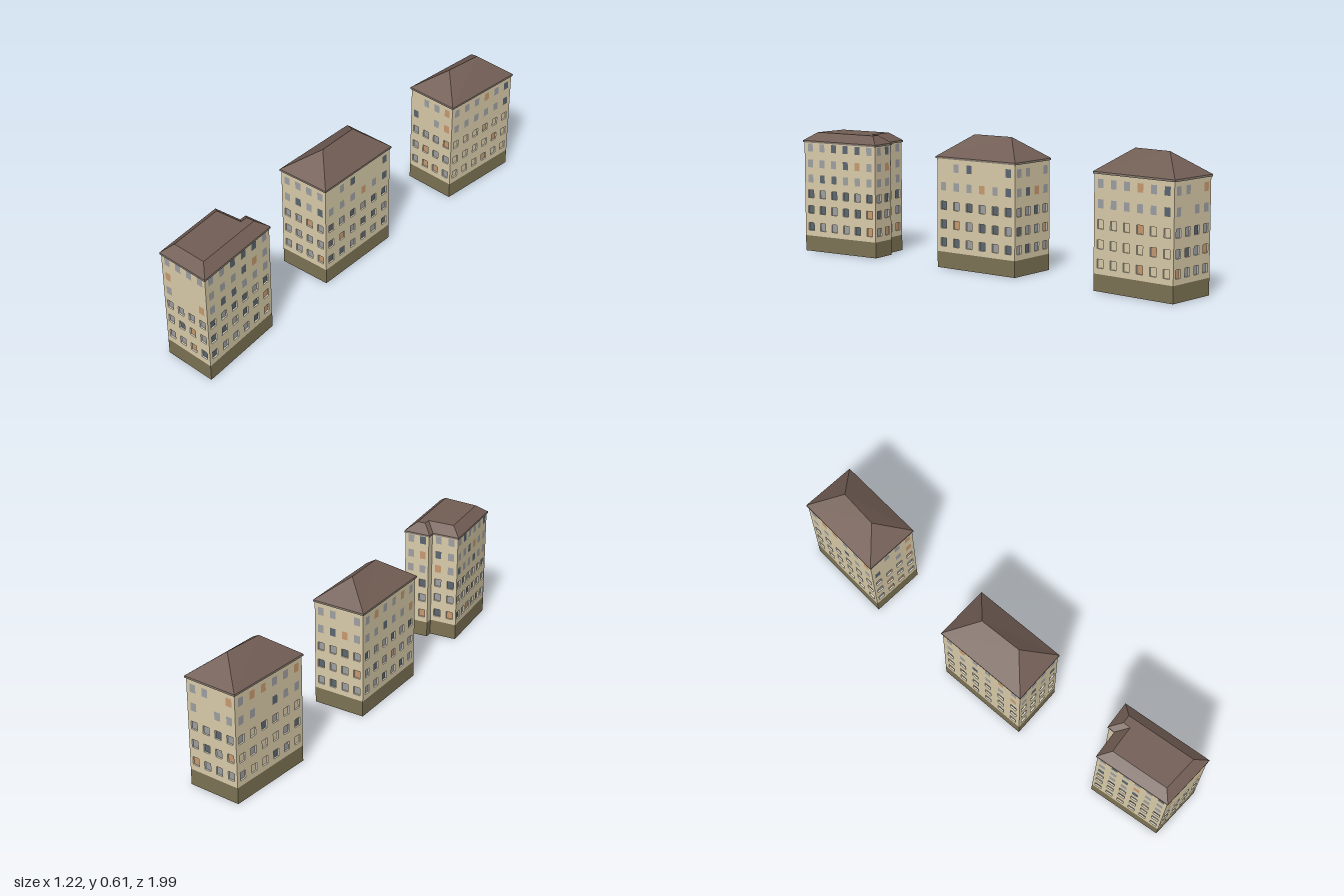
import * as THREE from 'three';

const mat = (name, color) => {
  const m = new THREE.MeshStandardMaterial({ color, side: THREE.DoubleSide });
  m.name = name;
  return m;
};
const plaster = mat('plaster', 0xdaccaa);
const plinth = mat('plinth', 0x7d7354);
const roofing = mat('roofing', 0x715d54);
const eaveTrim = mat('eave trim', 0x8a7d72);
const frame = mat('window frame', 0xe0dbcd);
const panes = {
  g: mat('pale glass', 0x9fa0a3),
  s: mat('slate glass', 0x5c6770),
  o: mat('amber glass', 0xc99a70),
  w: plaster,
};

const BASE = 0.075, REVEAL = 0.007, WIN_H = 0.038, FASCIA = 0.009, OVERHANG = 0.005;

// Corners run counter-clockwise seen from above, as [x, z], starting front left.
// Window rows run from the top floor down: g, s, o = glass colours, w = blind, . = no window.
const buildings = [
  {
    name: 'frontBuilding', eave: 0.538, top: 0.576, inset: 0.048,
    corners: [[-0.613, 0.858], [-0.382, 0.993], [-0.214, 0.594], [-0.335, 0.541], [-0.351, 0.573], [-0.473, 0.52]],
    floors: [0.505, 0.428, 0.355, 0.28, 0.203, 0.12],
    walls: [
      ['gggg', 'o...', 'g..o', 'gggg', 'gsog', 'ggos'],
      ['ggsssg', 'gggsog', 'gssggg', 'sgssgs', 'ssgsso', 'sgggso'],
      ['gs', 'go', 'gg', 'gs', 'sg', 'go'],
      null,
      ['gg', 'sg', 'og', 'gs', 'gg', 'so'],
      ['gsgggs', 'ggsogg', 'sggsgg', 'gsggos', 'ggssgg', 'sgogsg'],
    ],
  },
  {
    name: 'middleBuilding', eave: 0.512, top: 0.61, ridge: [[-0.104, 0.098], [-0.011, -0.087]],
    corners: [[-0.288, 0.147], [-0.054, 0.27], [0.158, -0.13], [-0.071, -0.258]],
    floors: [0.463, 0.377, 0.289, 0.203, 0.12],
    walls: [
      ['gggg', 'gsgs', 'ggog', 'gggg', 'gggo'],
      ['.gs..s', 'gggogs', 'sgsgss', 'sogssg', 'ssgsgs'],
      ['gg.g', 'gsog', 'ggsg', 'sggo', 'gsgg'],
      ['goggog', 'ggsggo', 'sggsgs', 'gsgogg', 'ggsgsg'],
    ],
  },
  {
    name: 'rearBuilding', eave: 0.512, top: 0.61, ridge: [[0.33, -0.67], [0.439, -0.822]],
    corners: [[0.153, -0.637], [0.378, -0.496], [0.611, -0.855], [0.39, -0.998]],
    floors: [0.463, 0.377, 0.289, 0.203, 0.12],
    walls: [
      ['.ggo', 's.go', 'gggo', 'gogg', 'goog'],
      ['gggogs', 'gggggs', 'wwwoww', 'wwwwow', 'wwwoww'],
      ['gg.o', 'g.gg', 'ggsg', 'gsgo', 'oggg'],
      ['googgo', 'gg.sgg', 'gwsgww', 'wgwwgs', 'gwwsgw'],
    ],
  },
];

// Moves every side of an outline inward by d
function insetOutline(pts, d) {
  const n = pts.length;
  const inward = (a, b) => {
    const dx = b[0] - a[0], dz = b[1] - a[1], l = Math.hypot(dx, dz);
    return [dz / l, -dx / l];
  };
  return pts.map((p, i) => {
    const u = inward(pts[(i + n - 1) % n], p), v = inward(p, pts[(i + 1) % n]);
    const k = d / (1 + u[0] * v[0] + u[1] * v[1]);
    return [p[0] + (u[0] + v[0]) * k, p[1] + (u[1] + v[1]) * k];
  });
}

function rect(x, y, w, h, Type) {
  return new Type([[x, y], [x + w, y], [x + w, y + h], [x, y + h]].map(p => new THREE.Vector2(...p)));
}

function addMesh(parent, name, geometry, material) {
  const m = new THREE.Mesh(geometry, material);
  m.name = name;
  parent.add(m);
  return m;
}

// The four sides of a window recess: a box without front and back
function recess(w) {
  const geo = new THREE.BoxGeometry(w, WIN_H, REVEAL);
  geo.setIndex([...geo.index.array.slice(0, 24)]);
  geo.clearGroups();
  return geo;
}

// One facade: plinth, wall pierced by windows, and glass
function facade(a, b, height, floors, rows) {
  const g = new THREE.Group();
  g.name = 'facade';
  const dx = b[0] - a[0], dz = b[1] - a[1], len = Math.hypot(dx, dz);
  g.position.set(a[0], 0, a[1]);
  g.rotation.y = Math.atan2(-dz, dx);
  const wall = rect(0, BASE, len, height - BASE, THREE.Shape);
  (rows || []).forEach((row, r) => [...row].forEach((c, i) => {
    if (c === '.') return;
    // the three lower floors are recessed, the upper ones sit flush
    const deep = floors.length - r <= 3, w = deep ? 0.033 : 0.03;
    const x = (i + 0.5) / row.length * len, y = floors[r];
    wall.holes.push(rect(x - w / 2, y - WIN_H / 2, w, WIN_H, THREE.Path));
    addMesh(g, 'windowPane', new THREE.PlaneGeometry(w, WIN_H), panes[c])
      .position.set(x, y, deep ? -REVEAL : 0);
    if (deep) addMesh(g, 'windowReveal', recess(w), frame).position.set(x, y, -REVEAL / 2);
  }));
  addMesh(g, 'wall', new THREE.ShapeGeometry(wall), plaster);
  addMesh(g, 'plinth', new THREE.ShapeGeometry(rect(0, 0, len, BASE, THREE.Shape)), plinth);
  return g;
}

// Flat bands between successive outlines
function bands(rings) {
  const pos = [];
  for (let k = 0; k + 1 < rings.length; k++) {
    const lo = rings[k], hi = rings[k + 1], n = lo.pts.length;
    for (let i = 0; i < n; i++) {
      const j = (i + 1) % n;
      const at = (ring, q) => [ring.pts[q][0], ring.y, ring.pts[q][1]];
      pos.push(...at(lo, i), ...at(lo, j), ...at(hi, j), ...at(lo, i), ...at(hi, j), ...at(hi, i));
    }
  }
  const geo = new THREE.BufferGeometry();
  geo.setAttribute('position', new THREE.Float32BufferAttribute(pos, 3));
  geo.computeVertexNormals();
  return geo;
}

function building(b) {
  const g = new THREE.Group();
  g.name = b.name;
  const plan = insetOutline(b.corners, OVERHANG), under = b.eave - FASCIA;
  plan.forEach((p, i) => g.add(facade(p, plan[(i + 1) % plan.length], under, b.floors, b.walls[i])));

  // Hipped roof ending in a ridge, or in a flat top
  const crown = b.ridge
    ? [b.ridge[0], b.ridge[0], b.ridge[1], b.ridge[1]]
    : insetOutline(b.corners, b.inset);
  const edge = { pts: b.corners, y: b.eave };
  addMesh(g, 'eaves', bands([{ pts: plan, y: under }, { pts: b.corners, y: under }, edge]), eaveTrim);
  addMesh(g, 'roof', bands([edge, { pts: crown, y: b.top }]), roofing);
  if (!b.ridge) {
    const cap = new THREE.Shape(crown.map(([x, z]) => new THREE.Vector2(x, -z)));
    addMesh(g, 'roofTop', new THREE.ShapeGeometry(cap).rotateX(-Math.PI / 2).translate(0, b.top, 0), roofing);
  }
  return g;
}

export function createModel() {
  const model = new THREE.Group();
  model.name = 'apartmentBuildings';
  buildings.forEach(b => model.add(building(b)));
  return model;
}
